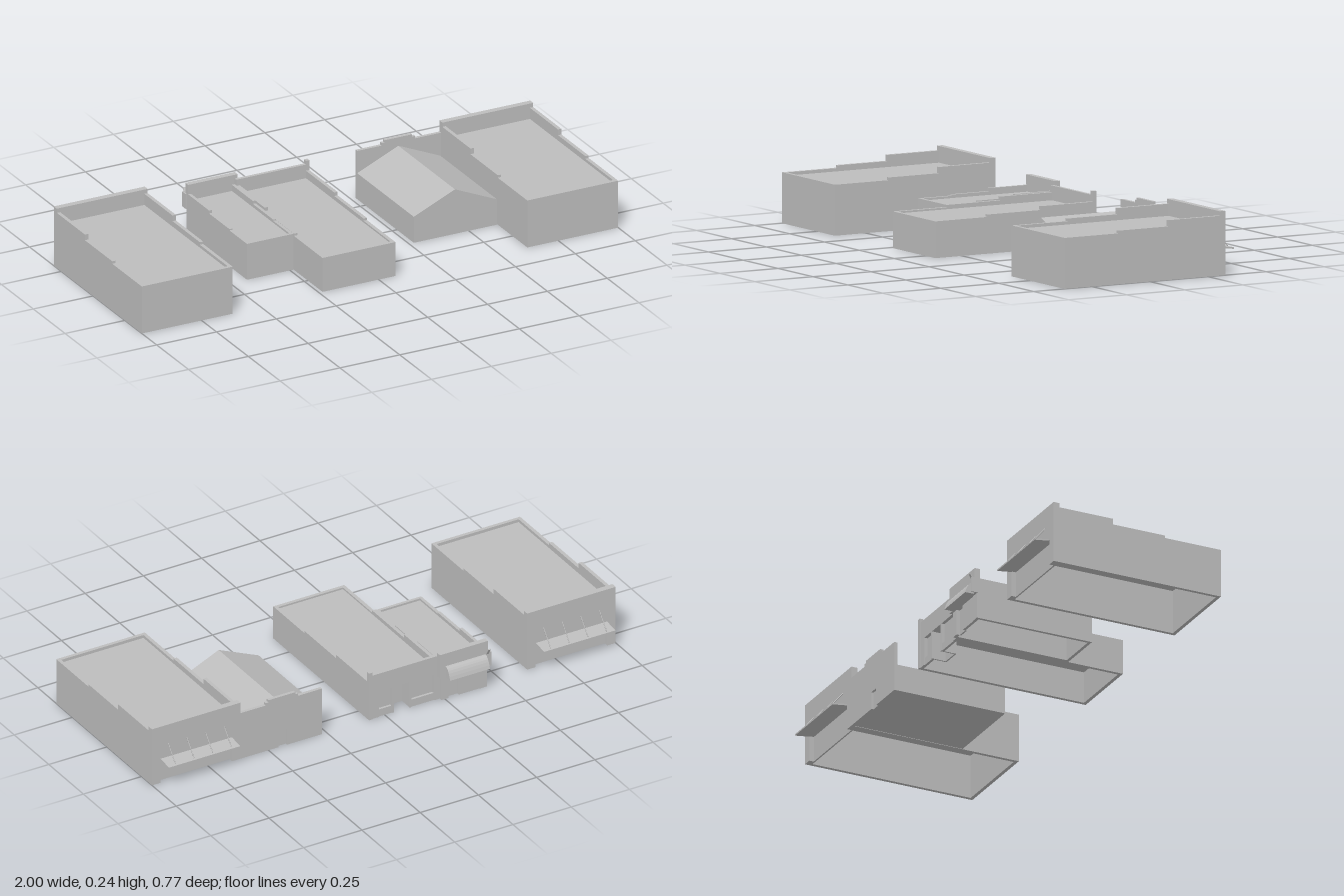
import * as THREE from 'three';

const plaster = new THREE.MeshStandardMaterial({ color: 0xbdbdbd, side: THREE.DoubleSide });
plaster.name = 'grey plaster';

function add(group, name, geometry) {
  const mesh = new THREE.Mesh(geometry, plaster);
  mesh.name = name;
  group.add(mesh);
  return mesh;
}

// Box given by its low and high corners
function box(group, name, x0, x1, y0, y1, z0, z1) {
  const g = new THREE.BoxGeometry(x1 - x0, y1 - y0, z1 - z0);
  g.translate((x0 + x1) / 2, (y0 + y1) / 2, (z0 + z1) / 2);
  return add(group, name, g);
}

// Profile of [z, y] points extruded from x0 to x1
function sideProfile(group, name, points, x0, x1) {
  const shape = new THREE.Shape(points.map(([z, y]) => new THREE.Vector2(z, y)));
  const g = new THREE.ExtrudeGeometry(shape, { depth: x1 - x0, bevelEnabled: false });
  g.rotateY(-Math.PI / 2);
  g.translate(x1, 0, 0);
  return add(group, name, g);
}

// Outline of [x, y] points extruded from z0 to z1
function frontProfile(group, name, points, z0, z1) {
  const shape = new THREE.Shape(points.map(([x, y]) => new THREE.Vector2(x, y)));
  const g = new THREE.ExtrudeGeometry(shape, { depth: z1 - z0, bevelEnabled: false });
  g.translate(0, 0, z0);
  return add(group, name, g);
}

// Thin round bar between two points
function rod(group, name, a, b, r) {
  const p = new THREE.Vector3(...a), q = new THREE.Vector3(...b);
  const mesh = add(group, name, new THREE.CylinderGeometry(r, r, p.distanceTo(q), 6));
  mesh.position.copy(p).add(q).multiplyScalar(0.5);
  mesh.quaternion.setFromUnitVectors(new THREE.Vector3(0, 1, 0), q.sub(p).normalize());
}

// Open-bottomed hall: stepped side walls, end wall and sunken roof
function hall(group, { x0, x1, zBack, zFront, heights, steps, roofY, t }) {
  const [low, mid, high] = heights;
  const profile = [
    [zFront, 0], [zFront, low], [steps[0], low], [steps[0], mid],
    [steps[1], mid], [steps[1], high], [zBack, high], [zBack, 0],
  ];
  sideProfile(group, 'sideWall', profile, x0, x0 + t);
  sideProfile(group, 'sideWall', profile, x1 - t, x1);
  box(group, 'endWall', x0 + t, x1 - t, 0, low, zFront - t, zFront);
  box(group, 'roof', x0 + t, x1 - t, roofY - 0.006, roofY, zBack, zFront - t);
}

// Large shop with a recessed shopfront and a canopy hung on rods
function largeShop(x0, z) {
  const g = new THREE.Group();
  g.name = 'largeShop';
  const x1 = x0 + 0.38;
  hall(g, {
    x0, x1, zBack: z + 0.024, zFront: z + 0.692,
    heights: [0.19, 0.2, 0.223], steps: [z + 0.46, z + 0.245], roofY: 0.178, t: 0.014,
  });
  box(g, 'fascia', x0, x1, 0.1, 0.24, z, z + 0.024);
  box(g, 'cornerPier', x0, x0 + 0.036, 0, 0.1, z, z + 0.024);
  box(g, 'cornerPier', x1 - 0.036, x1, 0, 0.1, z, z + 0.024);
  box(g, 'shopfront', x0 + 0.014, x1 - 0.014, 0, 0.1, z + 0.018, z + 0.024);
  sideProfile(g, 'canopy',
    [[z, 0.097], [z, 0.103], [z - 0.06, 0.095], [z - 0.06, 0.089]], x0 + 0.037, x0 + 0.343);
  for (let i = 0; i < 4; i++) {
    const x = x0 + 0.07 + i * 0.08;
    rod(g, 'canopyRod', [x, 0.16, z], [x, 0.097, z - 0.052], 0.0018);
  }
  return g;
}

// Gabled shed behind a stepped false front
function gabledShed() {
  const g = new THREE.Group();
  g.name = 'gabledShed';
  frontProfile(g, 'gabledBody',
    [[0.27, 0], [0.617, 0], [0.617, 0.103], [0.442, 0.18], [0.27, 0.105]], -0.312, 0.133);
  const front = new THREE.Shape([
    [0.27, 0], [0.42, 0], [0.42, 0.068], [0.458, 0.068], [0.458, 0], [0.62, 0], [0.62, 0.195],
    [0.512, 0.195], [0.512, 0.205], [0.5, 0.205], [0.5, 0.214], [0.385, 0.214], [0.385, 0.205],
    [0.373, 0.205], [0.373, 0.195], [0.27, 0.195],
  ].map(([x, y]) => new THREE.Vector2(x, y)));
  const geo = new THREE.ExtrudeGeometry(front, { depth: 0.013, bevelEnabled: false });
  geo.translate(0, 0, -0.325);
  add(g, 'falseFront', geo);
  box(g, 'door', 0.42, 0.458, 0, 0.068, -0.316, -0.312);
  return g;
}

// Middle shop with an open recessed porch
function porchShop() {
  const g = new THREE.Group();
  g.name = 'porchShop';
  const x0 = -0.235, x1 = 0.07;
  hall(g, {
    x0, x1, zBack: -0.312, zFront: 0.365,
    heights: [0.137, 0.146, 0.16], steps: [0.14, -0.09], roofY: 0.13, t: 0.014,
  });
  box(g, 'fascia', x0, x1, 0.11, 0.185, -0.325, -0.312);
  box(g, 'endPier', x1 - 0.014, x1, 0, 0.2, -0.328, -0.312);
  box(g, 'endPier', x0, x0 + 0.025, 0, 0.11, -0.325, -0.312);
  box(g, 'pier', 0.025, x1 - 0.014, 0, 0.11, -0.325, -0.312);
  // Window bays either side of the entry
  for (const [a, b] of [[-0.21, -0.11], [-0.03, 0.025]]) {
    box(g, 'windowSill', a, b, 0, 0.03, -0.322, -0.312);
    box(g, 'windowPane', a, b, 0.03, 0.11, -0.312, -0.308);
  }
  for (const x of [-0.11, -0.034]) {
    box(g, 'porchPost', x - 0.004, x + 0.004, 0, 0.11, -0.325, -0.317);
    box(g, 'entrySide', x - 0.003, x + 0.003, 0, 0.11, -0.317, -0.262);
  }
  box(g, 'entryDoor', -0.107, -0.037, 0, 0.11, -0.268, -0.262);
  return g;
}

// Narrow shop with a curved awning and a tall sign board
function narrowShop() {
  const g = new THREE.Group();
  g.name = 'narrowShop';
  const x0 = -0.43, x1 = -0.235;
  hall(g, {
    x0, x1, zBack: -0.325, zFront: 0.138,
    heights: [0.145, 0.15, 0.162], steps: [0.0, -0.16], roofY: 0.137, t: 0.012,
  });
  box(g, 'fascia', x0, x1 + 0.012, 0.1, 0.2, -0.347, -0.325);
  box(g, 'pier', x0, x0 + 0.03, 0, 0.1, -0.338, -0.325);
  box(g, 'pier', x1 - 0.03, x1, 0, 0.1, -0.338, -0.325);
  box(g, 'bayWindow', x0 + 0.03, x1 - 0.075, 0, 0.1, -0.336, -0.325);
  box(g, 'door', x1 - 0.075, x1 - 0.03, 0, 0.1, -0.325, -0.319);
  const curve = [[-0.347, 0.1], [-0.347, 0.146]];
  for (let i = 1; i <= 6; i++) {
    const a = (i / 6) * 0.9;
    curve.push([-0.347 - 0.033 * Math.sin(a) / Math.sin(0.9),
      0.1 + 0.046 * (Math.cos(a) - Math.cos(0.9)) / (1 - Math.cos(0.9))]);
  }
  sideProfile(g, 'awning', curve, x0 + 0.012, x1 - 0.012);
  // Slanted slat above the awning and small projecting sign
  sideProfile(g, 'tiltedSlat',
    [[-0.347, 0.148], [-0.35, 0.146], [-0.366, 0.172], [-0.363, 0.175]], x0, x0 + 0.01);
  box(g, 'bladeSign', x0 - 0.005, x0, 0.1, 0.16, -0.362, -0.335);
  return g;
}

export function createModel() {
  const model = new THREE.Group();
  model.name = 'shopRow';
  model.add(largeShop(-1, -0.309), largeShop(0.62, -0.325), gabledShed(), porchShop(), narrowShop());
  return model;
}
